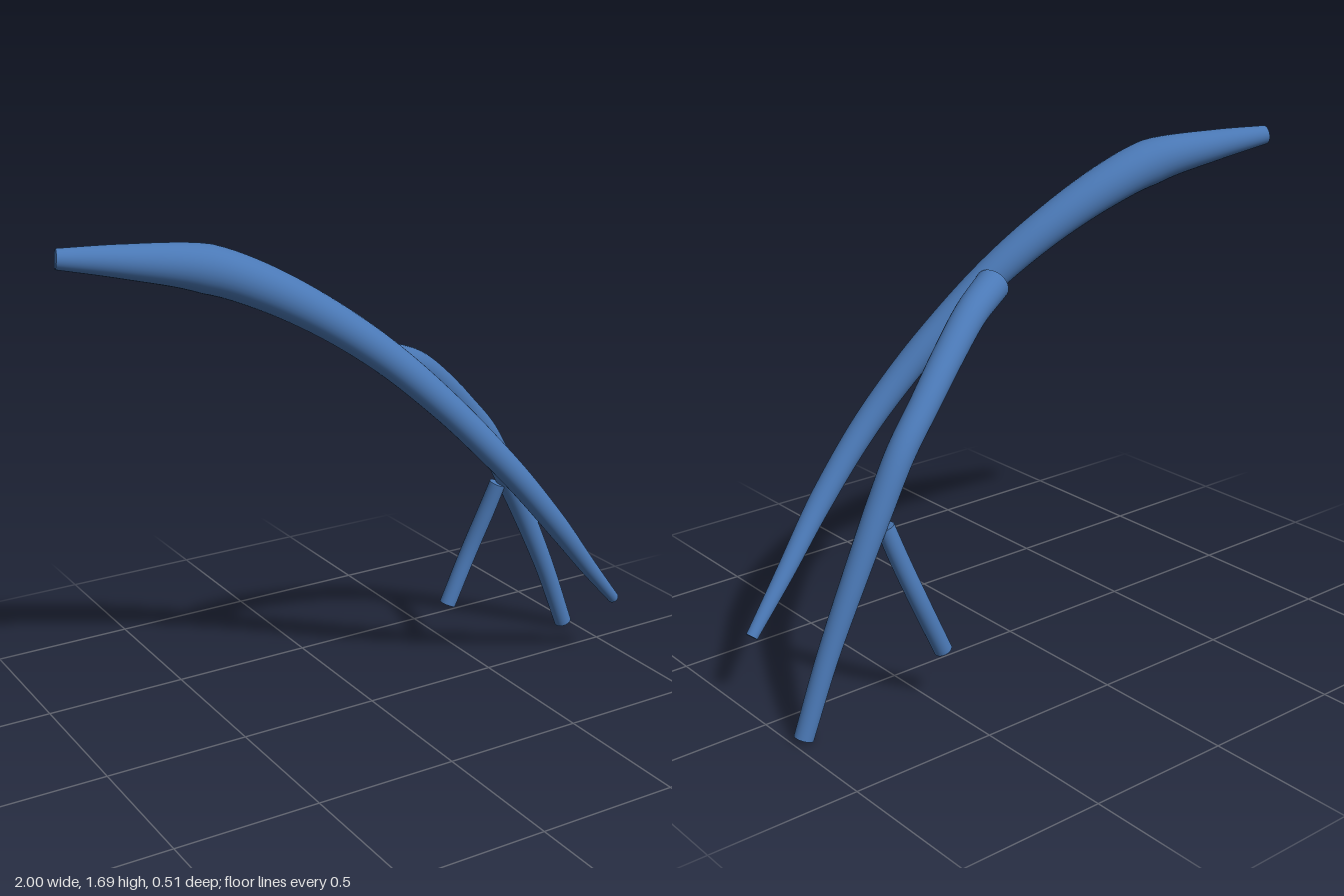
import * as THREE from 'three';

const RINGS = 72;
const SIDES = 32;

// Tapered tube through stations [x, y, z, radius], closed with flat caps.
function taperedTube(name, stations, material) {
  const curve = new THREE.CatmullRomCurve3(
    stations.map(([x, y, z]) => new THREE.Vector3(x, y, z)), false, 'centripetal');
  const radiusAt = (u) => {
    const s = curve.getUtoTmapping(u) * (stations.length - 1);
    const i = Math.min(Math.floor(s), stations.length - 2);
    return THREE.MathUtils.lerp(stations[i][3], stations[i + 1][3], s - i);
  };

  // Scale every ring of a unit tube about its own centre.
  const geometry = new THREE.TubeGeometry(curve, RINGS, 1, SIDES, false);
  const position = geometry.attributes.position;
  const v = new THREE.Vector3();
  for (let ring = 0; ring <= RINGS; ring++) {
    const centre = curve.getPointAt(ring / RINGS);
    const radius = radiusAt(ring / RINGS);
    for (let k = 0; k <= SIDES; k++) {
      const index = ring * (SIDES + 1) + k;
      v.fromBufferAttribute(position, index).sub(centre).multiplyScalar(radius).add(centre);
      position.setXYZ(index, v.x, v.y, v.z);
    }
  }

  const group = new THREE.Group();
  group.name = name;
  const wall = new THREE.Mesh(geometry, material);
  wall.name = name + 'Wall';
  group.add(wall);

  // Flat end caps facing outwards.
  for (const u of [0, 1]) {
    const cap = new THREE.Mesh(new THREE.CircleGeometry(radiusAt(u), SIDES), material);
    cap.name = name + (u ? 'EndCap' : 'StartCap');
    cap.position.copy(curve.getPointAt(u));
    const outward = curve.getTangentAt(u).multiplyScalar(u ? 1 : -1);
    cap.quaternion.setFromUnitVectors(new THREE.Vector3(0, 0, 1), outward);
    group.add(cap);
  }
  return group;
}

export function createModel() {
  const vesselBlue = new THREE.MeshStandardMaterial({ color: 0x4a78b5 });
  vesselBlue.name = 'vesselBlue';

  const model = new THREE.Group();
  model.name = 'branchingVessel';

  // Long trunk, swelling near the top and thinning to the front tip
  model.add(taperedTube('mainVessel', [
    [-0.995, 1.66, -0.182, 0.032],
    [-0.8, 1.64, -0.13, 0.053],
    [-0.56, 1.603, -0.065, 0.078],
    [-0.4, 1.54, -0.025, 0.073],
    [-0.2, 1.425, 0.032, 0.064],
    [0, 1.275, 0.095, 0.057],
    [0.2, 1.085, 0.156, 0.051],
    [0.33, 0.945, 0.19, 0.048],
    [0.46, 0.8, 0.208, 0.045],
    [0.63, 0.6, 0.205, 0.04],
    [0.8, 0.4, 0.175, 0.03],
    [0.947, 0.235, 0.148, 0.02],
  ], vesselBlue));

  // Rear branch reaching the lowest point
  model.add(taperedTube('rearBranch', [
    [0.03, 1.255, 0.053, 0.058],
    [0.175, 1.195, -0.012, 0.054],
    [0.32, 1.09, -0.073, 0.051],
    [0.45, 0.975, -0.122, 0.048],
    [0.565, 0.855, -0.153, 0.047],
    [0.66, 0.7, -0.167, 0.045],
    [0.765, 0.495, -0.172, 0.04],
    [0.87, 0.26, -0.167, 0.035],
    [0.964, 0.015, -0.163, 0.032],
  ], vesselBlue));

  // Short offshoot behind the rear branch
  model.add(taperedTube('sideOffshoot', [
    [0.645, 0.64, -0.175, 0.03],
    [0.61, 0.53, -0.195, 0.031],
    [0.555, 0.38, -0.218, 0.031],
    [0.468, 0.18, -0.227, 0.03],
  ], vesselBlue));

  return model;
}
